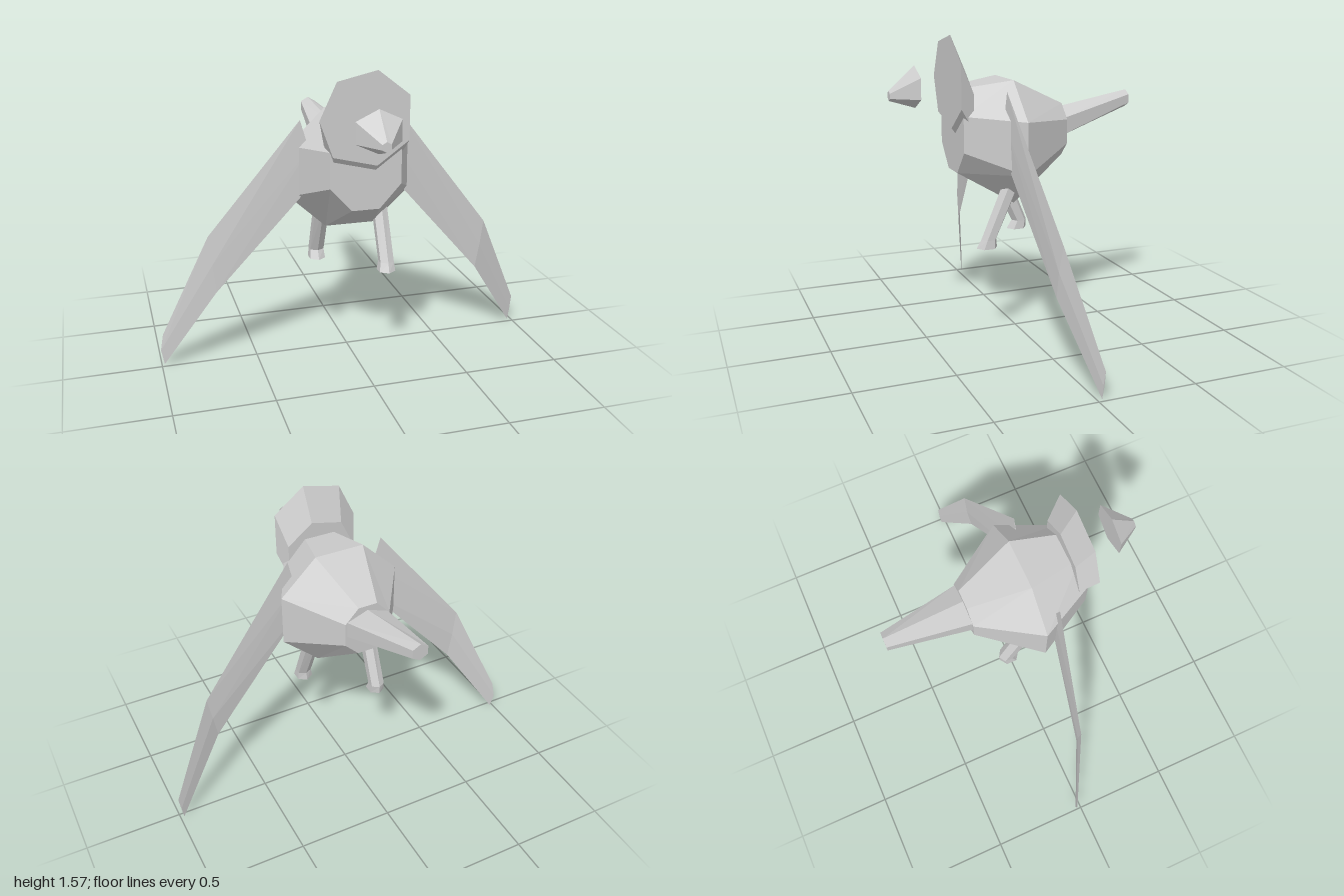
import * as THREE from 'three';

const V = (x, y, z) => new THREE.Vector3(x, y, z);

// Closed faceted skin over a row of rings with equal point counts, capped at both ends
function loft(name, rings, material) {
  const tris = [];
  const n = rings[0].length;
  for (let r = 0; r < rings.length - 1; r++) {
    for (let i = 0; i < n; i++) {
      const j = (i + 1) % n;
      const [a, b, c, d] = [rings[r][i], rings[r][j], rings[r + 1][j], rings[r + 1][i]];
      tris.push([a, b, c], [a, c, d]);
    }
  }
  const last = rings[rings.length - 1];
  for (let i = 1; i < n - 1; i++) {
    tris.push([rings[0][0], rings[0][i + 1], rings[0][i]], [last[0], last[i], last[i + 1]]);
  }
  // Turn the skin outward if its enclosed volume is negative
  let volume = 0;
  for (const [a, b, c] of tris) volume += a.dot(b.clone().cross(c));
  if (volume < 0) tris.forEach((t) => t.reverse());

  const geometry = new THREE.BufferGeometry().setFromPoints(tris.flat());
  geometry.computeVertexNormals();
  const mesh = new THREE.Mesh(geometry, material);
  mesh.name = name;
  return mesh;
}

// Hexagon facing z, with a corner at the top
function hexZ(x, y, z, rx, ry) {
  return Array.from({ length: 6 }, (_, i) => {
    const a = (i * Math.PI) / 3;
    return V(x + (rx * Math.sin(a)) / 0.866, y + ry * Math.cos(a), z);
  });
}

// Hexagon facing y, with a corner at the front
function hexY(x, y, z, rx, rz) {
  return Array.from({ length: 6 }, (_, i) => {
    const a = (i * Math.PI) / 3;
    return V(x + (rx * Math.sin(a)) / 0.866, y, z + rz * Math.cos(a));
  });
}

// Body octagon: narrow top and bottom edges, wide sides
function octagon(z, inner, outer, top, high, low, bottom) {
  const half = [[inner, top], [outer, high], [outer, low], [inner, bottom]];
  return [
    ...half.map(([x, y]) => V(x, y, z)),
    ...half.reverse().map(([x, y]) => V(-x, y, z)),
  ];
}

// Thin lens section of a wing between its upper and lower edges
function wingSection(upper, lower, thickness, mid) {
  const m = mid ? V(...mid) : V(...upper).add(V(...lower)).multiplyScalar(0.5);
  return [
    V(...upper), m.clone().add(V(0, 0, thickness)),
    V(...lower), m.clone().add(V(0, 0, -thickness)),
  ];
}

export function createModel() {
  const group = new THREE.Group();
  group.name = 'bird';
  const grey = new THREE.MeshStandardMaterial({ color: 0xcccccc, flatShading: true });
  grey.name = 'light grey';

  // Body
  group.add(loft('body', [
    octagon(-0.24, 0.05, 0.12, 1.2, 1.125, 1.0, 0.93),
    octagon(0.06, 0.13, 0.32, 1.34, 1.155, 0.89, 0.715),
    octagon(0.34, 0.07, 0.18, 1.3, 1.18, 1.0, 0.88),
  ], grey));

  // Tail
  group.add(loft('tail', [
    hexZ(-0.04, 1.197, -0.66, 0.04, 0.045),
    hexZ(0, 1.093, -0.24, 0.11, 0.083),
  ], grey));

  // Head: a seven-sided disc that narrows and drops toward the back
  const outline = [
    [-0.15, 1.52], [0.05, 1.565], [0.21, 1.44], [0.21, 1.22],
    [0.05, 1.105], [-0.17, 1.16], [-0.235, 1.34],
  ];
  group.add(loft('head', [
    outline.map(([x, y]) => V(x * 0.83, 1.2 + (y - 1.335) * 0.83, 0.285)),
    outline.map(([x, y]) => V(x, y, 0.36)),
  ], grey));

  // Beak
  group.add(loft('beak', [
    hexZ(0, 1.315, 0.53, 0.112, 0.105),
    hexZ(-0.005, 1.275, 0.66, 0.022, 0.025),
  ], grey));

  // Legs, one stepping forward and one back
  group.add(loft('leftLeg', [
    hexY(0.15, 0.5, 0.215, 0.042, 0.055),
    hexY(0.153, 0.545, 0.205, 0.036, 0.04),
    hexY(0.15, 0.85, 0.07, 0.036, 0.046),
  ], grey));
  group.add(loft('rightLeg', [
    hexY(-0.148, 0.5, -0.065, 0.04, 0.055),
    hexY(-0.147, 0.545, -0.08, 0.036, 0.042),
    hexY(-0.147, 0.85, 0.055, 0.036, 0.052),
  ], grey));

  // Wings: root, elbow and tip
  group.add(loft('leftWing', [
    wingSection([0.245, 1.3, 0.14], [0.18, 1.0, 0.14], 0.004),
    wingSection([0.755, 0.66, 0.068], [0.71, 0.4, 0.08], 0.006),
    wingSection([1.0, 0.14, -0.03], [0.98, 0, -0.025], 0.003),
  ], grey));
  group.add(loft('rightWing', [
    wingSection([-0.275, 1.3, 0.138], [-0.19, 1.0, 0.14], 0.004),
    wingSection([-0.74, 0.72, 0.07], [-0.71, 0.42, 0.08], 0.006),
    wingSection([-0.985, 0.17, -0.025], [-0.985, 0, -0.025], 0.003, [-1.0, 0.08, -0.03]),
  ], grey));

  return group;
}
